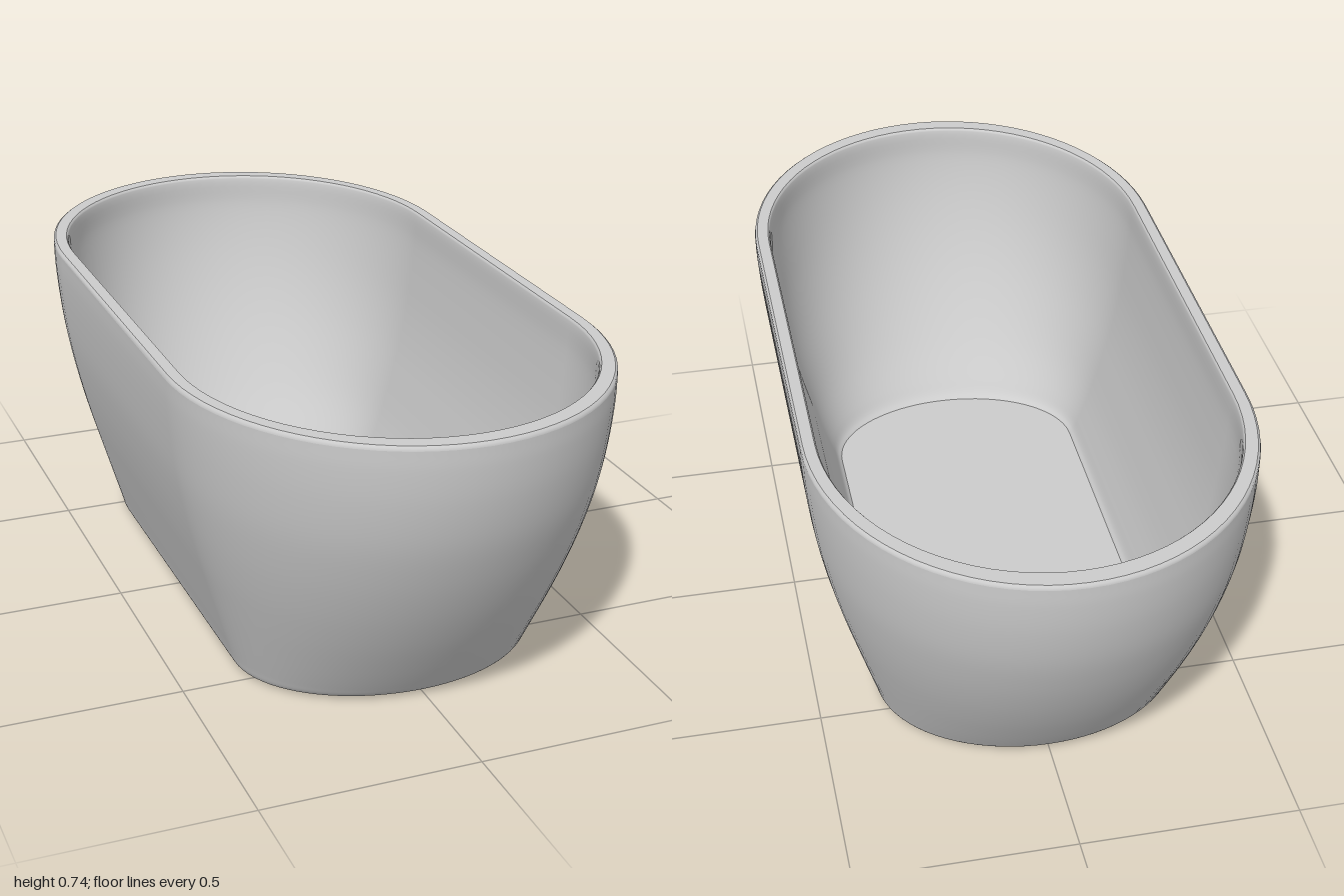
import * as THREE from 'three';

const STRAIGHT = 0.43; // half length of the straight sides
const ARC = 40; // segments in each rounded end

// Long oval ring with half width hx and half length hz at height y
function ring(hx, y, hz) {
  const points = [];
  for (const end of [1, -1]) {
    for (let i = 0; i <= ARC; i++) {
      const a = (i / ARC) * Math.PI;
      points.push(end * hx * Math.cos(a), y, end * (STRAIGHT + (hz - STRAIGHT) * Math.sin(a)));
    }
  }
  return points;
}

// Surface through rings along a profile of [halfWidth, height, halfLength]
function loft(name, profile, material, steps = 0) {
  let rows = profile.map((p) => new THREE.Vector3(...p));
  if (steps) rows = new THREE.CatmullRomCurve3(rows, false, 'centripetal').getPoints(steps);
  const n = 2 * (ARC + 1);
  const positions = rows.flatMap((p) => ring(p.x, p.y, p.z));
  const index = [];
  for (let r = 0; r < rows.length - 1; r++) {
    for (let i = 0; i < n; i++) {
      const j = (i + 1) % n;
      const a = r * n + i, b = r * n + j, c = a + n, d = b + n;
      index.push(a, c, b, b, c, d);
    }
  }
  const geometry = new THREE.BufferGeometry();
  geometry.setAttribute('position', new THREE.Float32BufferAttribute(positions, 3));
  geometry.setIndex(index);
  geometry.computeVertexNormals();
  const mesh = new THREE.Mesh(geometry, material);
  mesh.name = name;
  return mesh;
}

export function createModel() {
  const enamel = new THREE.MeshStandardMaterial({ color: 0xcccccc });
  enamel.name = 'light grey enamel';
  const tub = new THREE.Group();
  tub.name = 'bathtub';

  tub.add(
    // flat underside with a slightly raised border
    loft('base', [[0, 0, STRAIGHT], [0.318, 0, 0.655]], enamel),
    loft('baseBorder', [[0.318, 0, 0.655], [0.322, 0.004, 0.66], [0.343, 0.004, 0.682]], enamel),
    // rounded foot edge, then the flaring outer shell
    loft('outerWall', [
      [0.343, 0.004, 0.682], [0.351, 0.006, 0.692], [0.356, 0.014, 0.702], [0.362, 0.035, 0.718],
      [0.381, 0.1, 0.763], [0.41, 0.2, 0.827], [0.438, 0.3, 0.883], [0.462, 0.4, 0.93],
      [0.481, 0.5, 0.967], [0.493, 0.6, 0.99], [0.499, 0.68, 0.999], [0.5, 0.727, 1],
    ], enamel, 60),
    // flat rim with softened edges
    loft('rimOuterEdge', [[0.5, 0.727, 1], [0.499, 0.733, 0.999], [0.494, 0.737, 0.994]], enamel),
    loft('rim', [[0.494, 0.737, 0.994], [0.468, 0.737, 0.955]], enamel),
    // basin inside
    loft('innerWall', [
      [0.468, 0.737, 0.955], [0.464, 0.73, 0.95], [0.461, 0.66, 0.947], [0.452, 0.57, 0.93],
      [0.439, 0.47, 0.9], [0.42, 0.37, 0.86], [0.395, 0.27, 0.81], [0.367, 0.17, 0.75],
      [0.337, 0.085, 0.69], [0.325, 0.055, 0.668], [0.315, 0.042, 0.653],
    ], enamel, 50),
    loft('floor', [[0.315, 0.042, 0.653], [0, 0.042, STRAIGHT]], enamel),
  );
  return tub;
}
